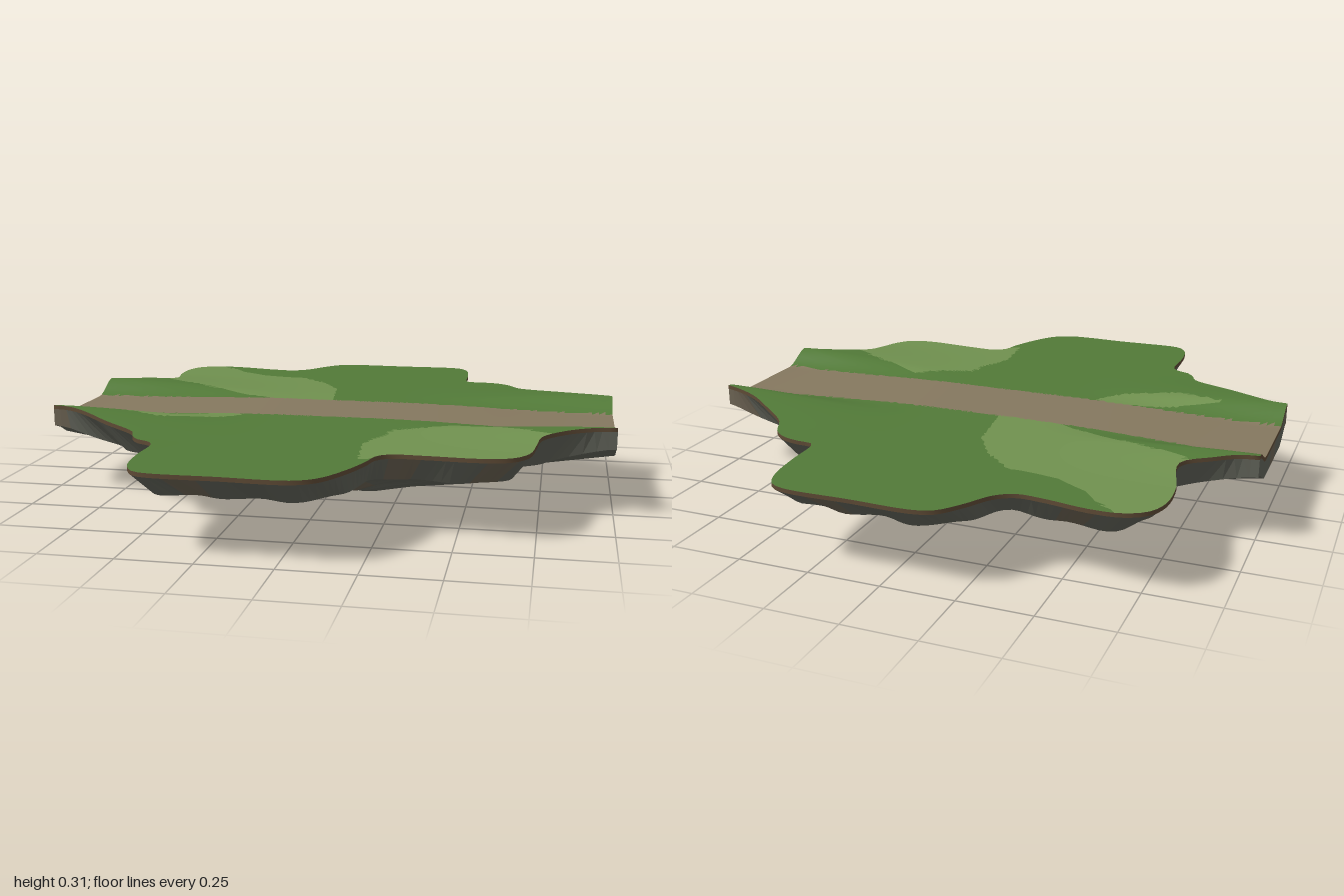
import * as THREE from 'three';

// Coast outline (x, z): the back shore runs right to left, the front shore left to right.
const BACK = [1, -.28, .94, -.3, .85, -.34, .75, -.41, .65, -.49, .63, -.52, .6, -.58, .55, -.62, .49, -.635, .43, -.64,
  .42, -.66, .415, -.8, .4, -.92, .37, -.98, .32, -1, .1, -1, -.12, -1, -.18, -.98, -.24, -.91, -.3, -.82, -.36, -.785,
  -.45, -.79, -.6, -.815, -.7, -.81, -.77, -.77, -.8, -.7, -.8, -.58, -.77, -.4, -.86, -.34, -.94, -.295, -1, -.285];
const FRONT = [-1, .28, -.94, .29, -.87, .33, -.75, .42, -.61, .52, -.59, .57, -.56, .61, -.51, .635, -.49, .67, -.49, .8,
  -.475, .92, -.44, .98, -.4, .995, -.18, .995, .05, .995, .12, .96, .18, .87, .23, .75, .25, .68, .29, .65, .4, .65,
  .58, .66, .67, .64, .72, .58, .74, .48, .755, .4, .82, .34, .92, .29, 1, .275];

// Patches of dry grass as (x, z) polygons.
const PATCHES = [
  [-.72, -.86, -.6, -.75, -.55, -.69, -.42, -.62, -.25, -.6, -.15, -.5, -.08, -.38, -.05, -.14, -.25, -.14, -.45, -.22, -.78, -.36, -.9, -.6],
  [.45, .21, .7, .31, .78, .37, .78, .7, .2, .72, .18, .52, .23, .42, .25, .32, .36, .27],
  [-.77, .25, -.55, .17, -.35, .14, -.32, .17, -.4, .25, -.6, .31],
];

const smooth = THREE.MathUtils.smoothstep;

function pairs(list) {
  const out = [];
  for (let i = 0; i < list.length; i += 2) out.push([list[i], list[i + 1]]);
  return out;
}

function shore(list) {
  const points = pairs(list).map(([x, z]) => new THREE.Vector3(x, 0, z));
  return new THREE.CatmullRomCurve3(points, false, 'centripetal').getSpacedPoints(110);
}

// Closed outline: two shores joined by straight cuts where the path ends.
function makeOutline() {
  const back = shore(BACK), front = shore(FRONT);
  const cut = (a, b) => Array.from({ length: 23 }, (_, i) => a.clone().lerp(b, (i + 1) / 24));
  return [...back, ...cut(back.at(-1), front[0]), ...front, ...cut(front.at(-1), back[0])];
}

// Ground height: nearly level, with a sunken path between banks that rise towards both ends.
function ground(x, z) {
  const a = smooth(Math.abs(x), .2, 1), d = Math.abs(z);
  const bank = -.02 + .05 * smooth(d, .15, .28) - .025 * smooth(d, .29, .6);
  return .28 + a * bank - .008 * z * z;
}

function inside(x, z, polygon) {
  let hit = false;
  polygon.forEach(([ax, az], i) => {
    const [bx, bz] = polygon[(i + 1) % polygon.length];
    if ((az > z) !== (bz > z) && x < ax + (bx - ax) * (z - az) / (bz - az)) hit = !hit;
  });
  return hit;
}

// Joins closed rings of points; pick(centroid, column, row) names the part each triangle belongs to.
function loft(rings, pick) {
  const n = rings[0].length, flat = rings.flat(), parts = {}, all = [];
  const centre = new THREE.Vector3();
  const add = (column, row, ...tri) => {
    centre.set(0, 0, 0);
    tri.forEach(i => centre.addScaledVector(flat[i], 1 / 3));
    (parts[pick(centre, column, row)] ??= []).push(...tri);
    all.push(...tri);
  };
  for (let r = 0; r < rings.length - 1; r++) {
    for (let i = 0; i < n; i++) {
      const a = r * n + i, d = r * n + (i + 1) % n, b = a + n, c = d + n;
      if (flat[b].distanceToSquared(flat[c]) > 1e-12) add(i, r, a, b, c);
      if (flat[a].distanceToSquared(flat[d]) > 1e-12) add(i, r, a, c, d);
    }
  }
  // Normals come from the whole surface, so the parts shade seamlessly.
  const whole = new THREE.BufferGeometry().setFromPoints(flat);
  whole.setIndex(all);
  whole.computeVertexNormals();
  return Object.entries(parts).map(([name, index]) => {
    const geometry = new THREE.BufferGeometry();
    geometry.setAttribute('position', whole.attributes.position);
    geometry.setAttribute('normal', whole.attributes.normal);
    geometry.setIndex(index);
    return { name, geometry };
  });
}

export function createModel() {
  const model = new THREE.Group();
  model.name = 'island';
  const colors = {
    grass: 0x527a38, dryGrass: 0x70914f, path: 0x85785f,
    soilRim: 0x5e4a35, rock: 0x62645a, brownRock: 0x6c6353,
  };
  const addParts = (parts, flatShading) => parts.forEach(({ name, geometry }) => {
    const material = new THREE.MeshStandardMaterial({ color: colors[name], flatShading });
    const mesh = new THREE.Mesh(geometry, material);
    mesh.name = name;
    model.add(mesh);
  });

  const outline = makeOutline();
  const ring = place => outline.map(place);

  // Top surface: grass, dry grass and path
  const patches = PATCHES.map(pairs);
  const steps = 40, top = [];
  for (let k = 0; k <= steps; k++) {
    const s = k / steps;
    top.push(ring(p => new THREE.Vector3(p.x * s, ground(p.x * s, p.z * s), p.z * s)));
  }
  addParts(loft(top, c => {
    if (Math.abs(c.z) < .148 + .02 * c.x * c.x) return 'path';
    return patches.some(p => inside(c.x, c.z, p)) ? 'dryGrass' : 'grass';
  }), false);

  // Thin soil rim under the turf
  const edge = drop => ring(p => new THREE.Vector3(p.x, ground(p.x, p.z) - drop, p.z));
  addParts(loft([edge(0), edge(.014)], () => 'soilRim'), false);

  // Rock underside: steep flank, then ribs running in to a low centre; the path ends are cut upright
  const lower = (scale, y) => ring((p, i) => {
    const ripple = 1 + .02 * Math.sin(i * .9) * (1 - scale);
    return new THREE.Vector3(p.x * scale * ripple, y * (1 + .05 * Math.sin(i * 1.3)), p.z * scale * ripple);
  });
  const flank = ring((p, i) => {
    const cut = smooth(Math.abs(p.x), .82, .99);
    const s = THREE.MathUtils.lerp(.9 + .015 * Math.sin(i * .7), 1, cut);
    const y = THREE.MathUtils.lerp(.18, ground(p.x, p.z) - .075, cut);
    return new THREE.Vector3(p.x * s, y, p.z * s);
  });
  const rock = [edge(.014), flank, lower(.5, .088), lower(.24, .012), lower(0, 0)];
  addParts(loft(rock, (c, column, row) =>
    (Math.floor(column / 4) * 7 + row * 5) % 11 < 2 ? 'brownRock' : 'rock'), true);

  return model;
}
